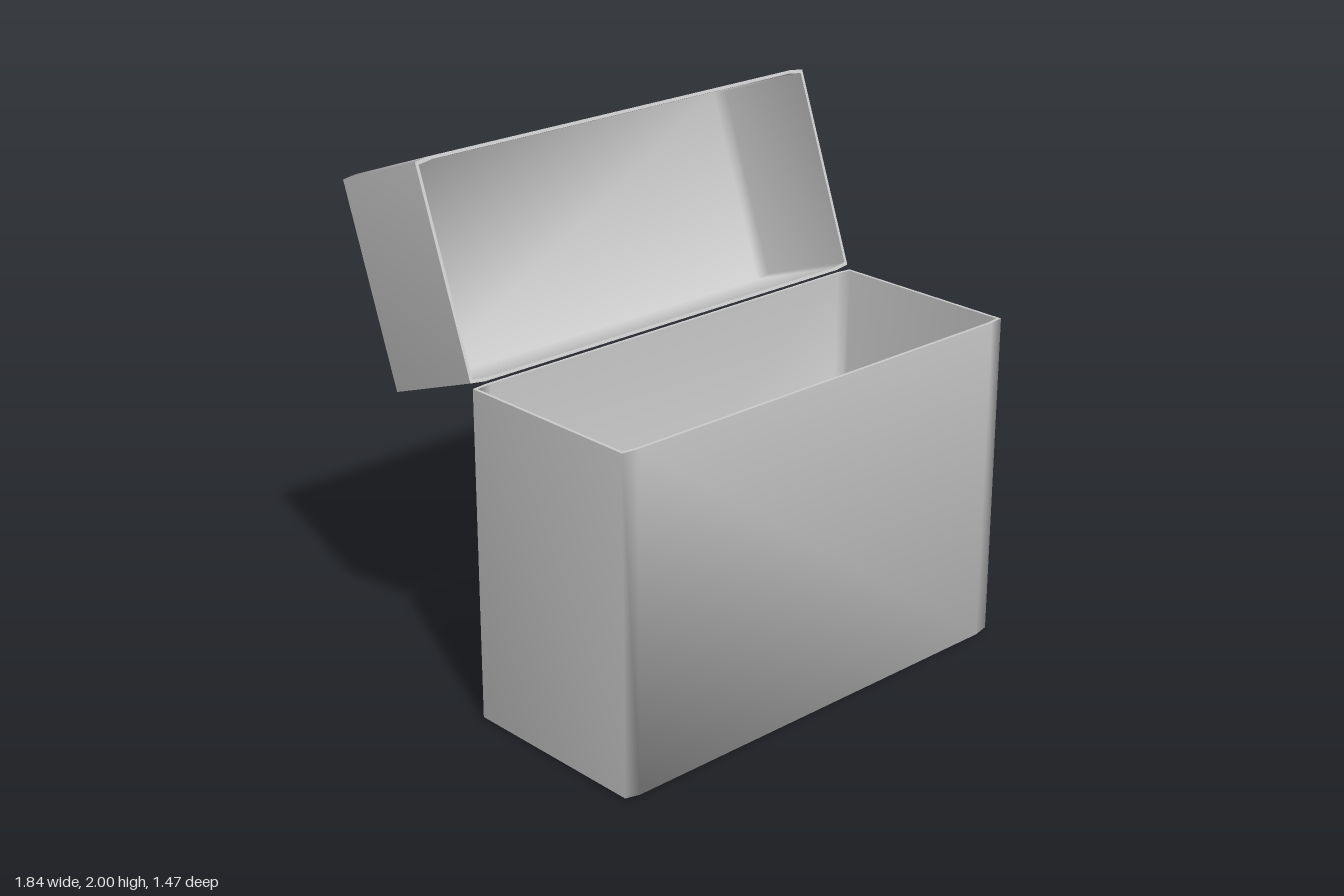
import * as THREE from 'three';

const material = new THREE.MeshStandardMaterial({ color: 0xcccccc, side: THREE.DoubleSide });

// Eight-point rectangular outline whose long sides bow out very slightly
function outline(w, d) {
  const b = w - 0.06, e = d - 0.008;
  return [[w, -e], [w, e], [b, d], [-b, d], [-w, e], [-w, -e], [-b, -d], [b, -d]];
}

// Floor and rim rings; the floor's end corners are raised a touch
function rings(w, d, floorY, rimY) {
  const loop = outline(w, d);
  const low = loop.map(([x, z]) => [x, floorY + (Math.abs(x) === w ? 0.006 : 0), z]);
  const high = loop.map(([x, z]) => [x, rimY, z]);
  return { low, high };
}

// Quads between two matching rings
function band(n) {
  const index = [];
  for (let i = 0; i < n; i++) {
    const j = (i + 1) % n;
    index.push(i, n + i, n + j, i, n + j, j);
  }
  return index;
}

function makeMesh(name, points, index) {
  const geometry = new THREE.BufferGeometry();
  geometry.setAttribute('position', new THREE.Float32BufferAttribute(points.flat(), 3));
  geometry.setIndex(index);
  geometry.computeVertexNormals();
  const mesh = new THREE.Mesh(geometry, material);
  mesh.name = name;
  return mesh;
}

// Walls and floor as one smooth-shaded shell; flip turns it to face inwards
function shell(name, { low, high }, flip) {
  const index = band(8);
  for (const [a, b, c, d] of [[0, 1, 2, 7], [7, 2, 3, 6], [6, 3, 4, 5]]) {
    index.push(a, b, c, a, c, d);
  }
  if (flip) index.reverse();
  return makeMesh(name, [...low, ...high], index);
}

// Thin-walled tray, open at +y
function tray(name, w, d, h) {
  const t = 0.012;
  const outer = rings(w, d, 0, h);
  const inner = rings(w - t, d - t, t, h);
  const group = new THREE.Group();
  group.name = name;
  group.add(
    shell(name + 'Outside', outer, false),
    shell(name + 'Inside', inner, true),
    makeMesh(name + 'Rim', [...outer.high, ...inner.high], band(8)),
  );
  return group;
}

export function createModel() {
  const model = new THREE.Group();
  model.name = 'openBox';

  // Upright container
  const body = tray('body', 0.92, 0.386, 1.26);
  body.position.z = 0.345;

  // Lid swung back on the rear top edge
  const lid = tray('lid', 0.92, 0.39, 0.454);
  lid.rotation.x = THREE.MathUtils.degToRad(70);
  lid.position.set(0, 1.48, -0.6025);

  model.add(body, lid);
  return model;
}
